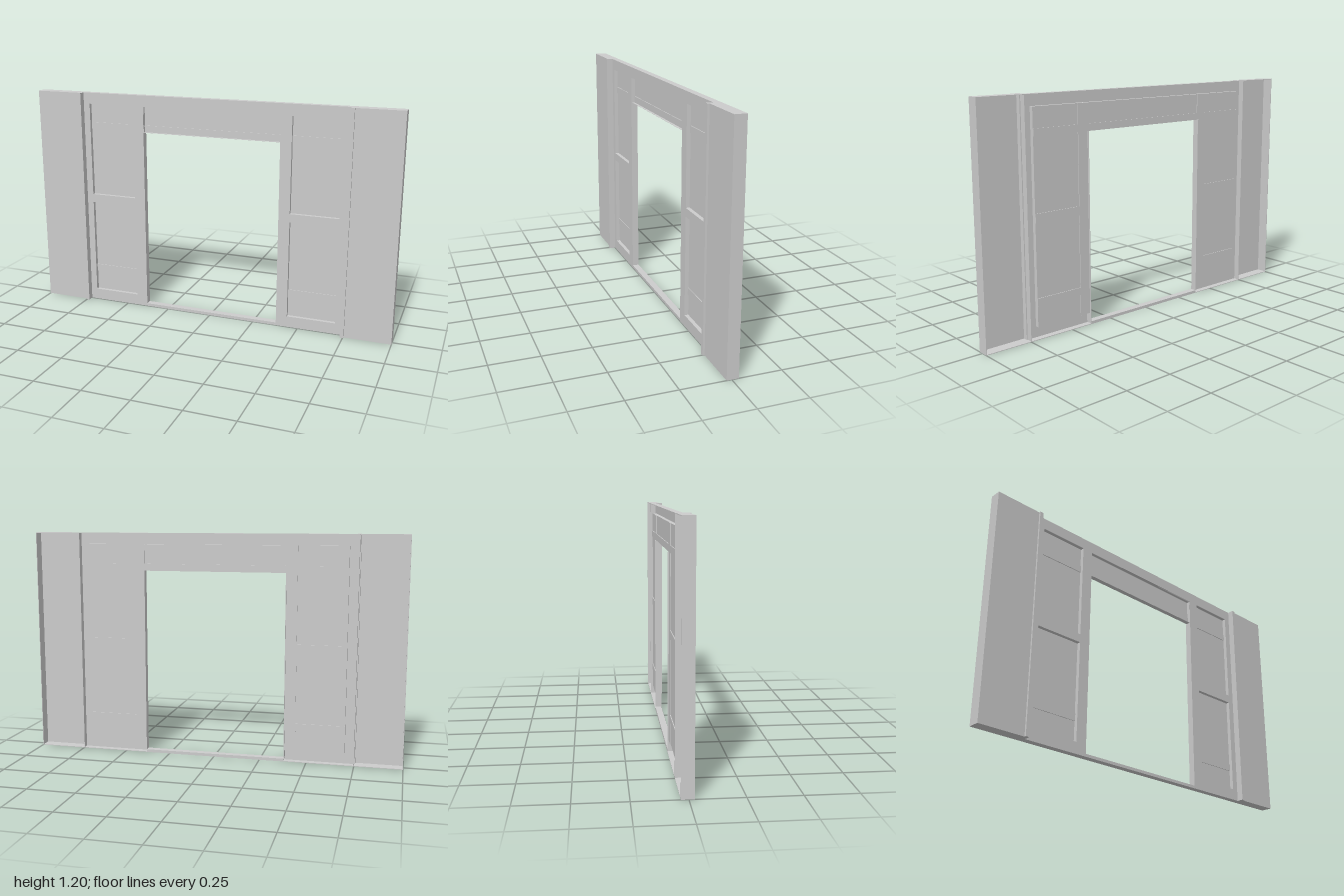
import * as THREE from 'three';

const T = 0.003;        // sheet thickness
const BACK = -0.035;    // rear plane of the shell
const WALL = 0.025;     // front plane of the side walls
const H = 1.2;

const material = new THREE.MeshStandardMaterial({ color: 0xcccccc, side: THREE.DoubleSide });

// Box given by its limits on each axis
function box(parent, name, x0, x1, y0, y1, z0, z1) {
  const mesh = new THREE.Mesh(new THREE.BoxGeometry(x1 - x0, y1 - y0, z1 - z0), material);
  mesh.position.set((x0 + x1) / 2, (y0 + y1) / 2, (z0 + z1) / 2);
  mesh.name = name;
  parent.add(mesh);
  return mesh;
}

function rectangle(Type, x0, x1, y0, y1) {
  return new Type([[x0, y0], [x1, y0], [x1, y1], [x0, y1]].map(p => new THREE.Vector2(...p)));
}

function extrude(parent, name, shape, z0, z1) {
  const mesh = new THREE.Mesh(
    new THREE.ExtrudeGeometry(shape, { depth: z1 - z0, bevelEnabled: false }), material);
  mesh.position.z = z0;
  mesh.name = name;
  parent.add(mesh);
}

// The four panel openings beside the doorway
function panelHoles() {
  const holes = [];
  for (const [x0, x1] of [[-0.7, -0.44], [0.44, 0.7]])
    for (const [y0, y1] of [[0.06, 0.585], [0.63, 1.14]])
      holes.push(rectangle(THREE.Path, x0, x1, y0, y1));
  return holes;
}

// Hollow side wall, open at the rear, with a trim strip along its inner edge
function sideWall(side) {
  const wall = new THREE.Group();
  wall.name = side > 0 ? 'leftWall' : 'rightWall';
  const part = (name, a, b, ...rest) =>
    box(wall, name, Math.min(a * side, b * side), Math.max(a * side, b * side), ...rest);
  part('wallFace', 0.75, 1, 0, H, WALL - T, WALL);
  part('wallEnd', 1 - T, 1, 0, H, BACK, WALL);
  part('wallReturn', 0.747, 0.75, 0, H, BACK, WALL);
  part('wallTop', 0.75, 1, H - T, H, BACK, WALL);
  part('wallBase', 0.75, 1, 0, T, BACK, WALL);
  part('trimStrip', 0.735, 0.755, 0, H, -T, 0.035);
  return wall;
}

export function createModel() {
  const model = new THREE.Group();
  model.name = 'doorWall';
  model.add(sideWall(1), sideWall(-1));

  // Front frame sheet with door and panel openings
  const frame = rectangle(THREE.Shape, -0.75, 0.75, 0, H);
  frame.holes.push(rectangle(THREE.Path, -0.38, 0.38, 0.015, 1.14), ...panelHoles());
  extrude(model, 'frontFrame', frame, -T, 0);
  box(model, 'frameTop', -0.75, 0.75, H - T, H, BACK, 0);
  box(model, 'frameBase', -0.75, 0.75, 0, T, BACK, 0);
  box(model, 'doorSill', -0.38, 0.38, 0, 0.015, BACK, 0);

  // Raised rear body that forms the reveals of the openings
  const body = new THREE.Shape([
    [-0.7, 0.06], [-0.38, 0.06], [-0.38, 1], [0.38, 1], [0.38, 0.06], [0.7, 0.06], [0.7, 1.14], [-0.7, 1.14],
  ].map(p => new THREE.Vector2(...p)));
  const backing = body.clone();
  body.holes.push(rectangle(THREE.Path, -0.379, 0.379, 1.001, 1.139), ...panelHoles());
  extrude(model, 'reveals', body, -0.02, -T);
  extrude(model, 'panels', backing, -0.024, -0.02);

  // Horizontal bars across the panels
  box(model, 'transomBar', -0.7, 0.7, 1, 1.037, -0.028, -0.016);
  for (const s of [-1, 1]) {
    for (const [y0, y1] of [[0.17, 0.208], [0.585, 0.63]])
      box(model, 'panelBar', s * 0.57 - 0.13, s * 0.57 + 0.13, y0, y1, -0.028, -0.016);
    // Door post and jamb lining
    box(model, 'doorPost', s * 0.41 - 0.03, s * 0.41 + 0.03, 0.06, 1.14, -0.028, -0.02);
    box(model, 'doorJamb', s * 0.3815 - 0.0015, s * 0.3815 + 0.0015, 0.015, 1, BACK, 0);
  }
  return model;
}
